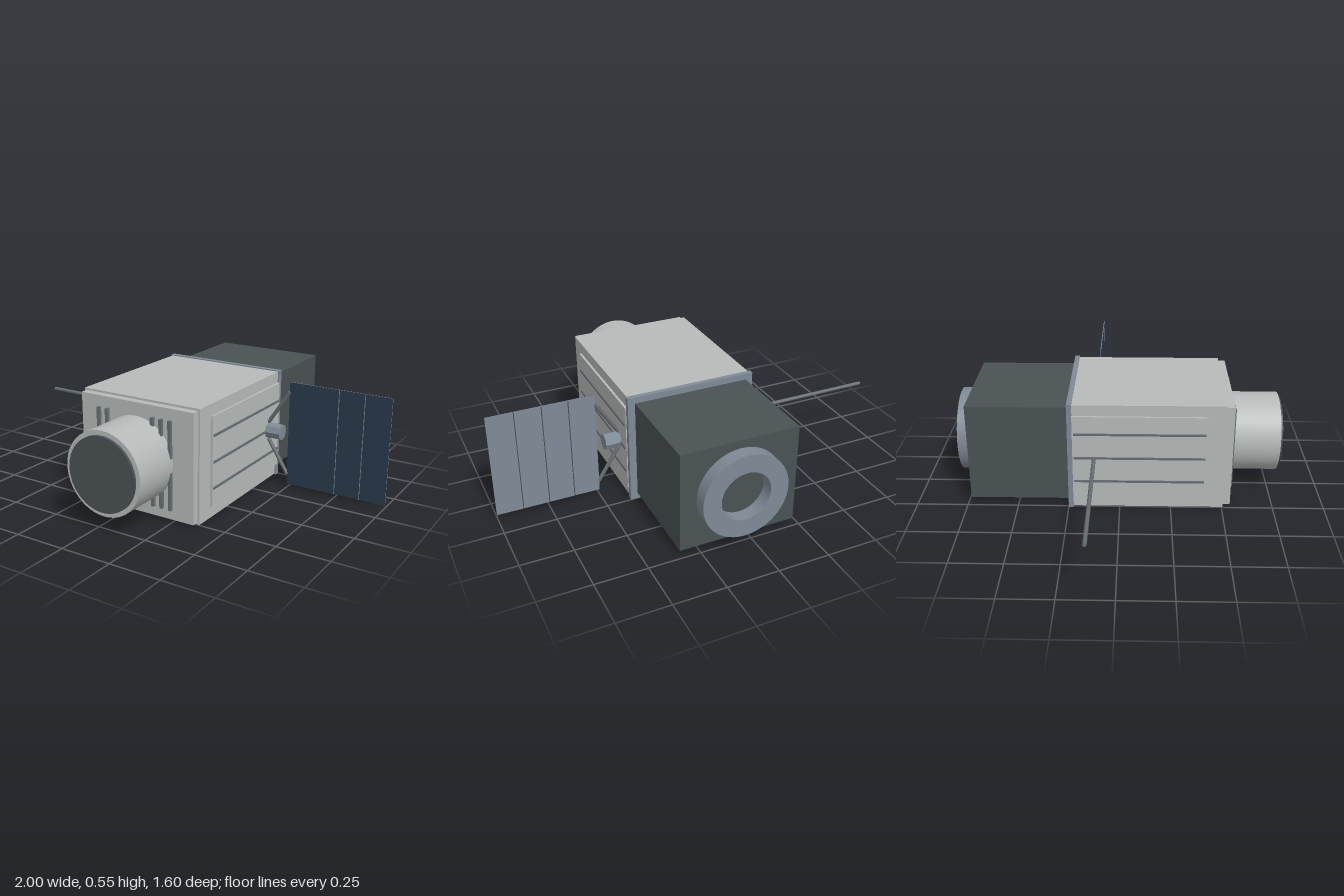
import * as THREE from 'three';
import { toCreasedNormals } from 'three/addons/utils/BufferGeometryUtils.js';

const CX = 0.06, CY = 0.28;
const material = (name, color) => Object.assign(new THREE.MeshStandardMaterial({ color }), { name });

export function createModel() {
  const hull = material('hull grey', 0xb6bbb9);
  const dark = material('dark grey', 0x4a5254);
  const steel = material('steel blue', 0x7f8a96);
  const trim = material('trim grey', 0x666d72);
  const navy = material('solar navy', 0x2c3a4e);
  const model = new THREE.Group();
  model.name = 'satellite';

  const add = (name, geometry, mat, parent = model) => {
    const mesh = new THREE.Mesh(geometry, mat);
    mesh.name = name;
    parent.add(mesh);
    return mesh;
  };
  // Box given by its minimum and maximum corners
  const box = (name, mat, a, b, parent) => {
    const mesh = add(name, new THREE.BoxGeometry(b[0] - a[0], b[1] - a[1], b[2] - a[2]), mat, parent);
    mesh.position.set((a[0] + b[0]) / 2, (a[1] + b[1]) / 2, (a[2] + b[2]) / 2);
    return mesh;
  };
  // Box centred on the long axis, from z0 to z1
  const block = (name, mat, w, h, z0, z1) =>
    box(name, mat, [CX - w / 2, CY - h / 2, z0], [CX + w / 2, CY + h / 2, z1]);
  // Round part along the long axis
  const drum = (name, mat, r, z0, z1) => {
    const mesh = add(name, new THREE.CylinderGeometry(r, r, z1 - z0, 48).rotateX(Math.PI / 2), mat);
    mesh.position.set(CX, CY, (z0 + z1) / 2);
  };
  // Rod between two points
  const rod = (name, mat, from, to, r, sides = 8, parent = model) => {
    const a = new THREE.Vector3(...from), b = new THREE.Vector3(...to);
    const mesh = add(name, new THREE.CylinderGeometry(r, r, a.distanceTo(b), sides), mat, parent);
    mesh.position.copy(a).add(b).multiplyScalar(0.5);
    mesh.quaternion.setFromUnitVectors(new THREE.Vector3(0, 1, 0), b.sub(a).normalize());
    return mesh;
  };

  // Body, front plate, flange and rear module
  block('mainBody', hull, 0.625, 0.54, -0.23, 0.505);
  block('frontPlate', hull, 0.605, 0.52, 0.505, 0.541);
  block('flange', steel, 0.64, 0.55, -0.25, -0.226);
  block('rearModule', dark, 0.57, 0.49, -0.735, -0.25);

  // Front telescope barrel and its dark cover
  drum('barrel', hull, 0.197, 0.541, 0.785);
  drum('barrelCover', dark, 0.175, 0.785, 0.797);

  // Rear docking ring, open in the middle
  const ringProfile = [[0.12, 0], [0.207, 0], [0.207, 0.065], [0.12, 0.065], [0.12, 0]]
    .map(([r, y]) => new THREE.Vector2(r, y));
  const ring = add('rearRing', toCreasedNormals(new THREE.LatheGeometry(ringProfile, 48), 0.6), steel);
  ring.rotation.x = -Math.PI / 2;
  ring.position.set(CX, CY, -0.735);

  // Vertical vent bars on the front plate
  for (const x of [-0.14, -0.093, 0.155, 0.2, 0.247])
    box('ventBar', trim, [x - 0.007, 0.068, 0.535], [x + 0.007, 0.488, 0.558]);

  // Raised panel with three rails on each side
  for (const s of [1, -1]) {
    const side = new THREE.Group();
    side.name = s > 0 ? 'leftSidePanel' : 'rightSidePanel';
    model.add(side);
    const slab = (name, mat, inner, outer, y0, y1, z0, z1) => box(name, mat,
      [CX + (s > 0 ? inner : -outer), y0, z0], [CX + (s > 0 ? outer : -inner), y1, z1], side);
    slab('panel', hull, 0.305, 0.324, 0.065, 0.495, -0.226, 0.415);
    for (const y of [0.155, CY, 0.405])
      slab('rail', trim, 0.32, 0.33, y - 0.005, y + 0.005, -0.22, 0.408);
  }

  // Antenna boom
  rod('antenna', trim, [-1, CY - 0.003, -0.123], [-0.26, CY - 0.003, -0.123], 0.0095, 10);

  // Solar wing: hub, struts and panel
  const wing = new THREE.Group();
  wing.name = 'solarWing';
  model.add(wing);
  const Z = -0.12;
  const hub = rod('hub', steel, [0.38, CY, Z], [0.46, CY, Z], 0.04, 8, wing);
  hub.geometry = toCreasedNormals(hub.geometry, 0.5);
  for (const s of [1, -1])
    rod('strut', trim, [0.38, CY + s * 0.035, Z], [0.493, CY + s * 0.21, Z], 0.0095, 8, wing);
  box('panelBack', steel, [0.493, 0.02, Z - 0.003], [1, 0.54, Z + 0.001], wing);
  box('solarCells', navy, [0.493, 0.02, Z + 0.001], [1, 0.54, Z + 0.003], wing);
  for (const x of [0.62, 0.745, 0.872]) {
    box('backSeam', dark, [x - 0.002, 0.02, Z - 0.005], [x + 0.002, 0.54, Z - 0.003], wing);
    if (x > 0.7)
      box('frontSeam', steel, [x - 0.0015, 0.02, Z + 0.003], [x + 0.0015, 0.54, Z + 0.004], wing);
  }
  return model;
}
